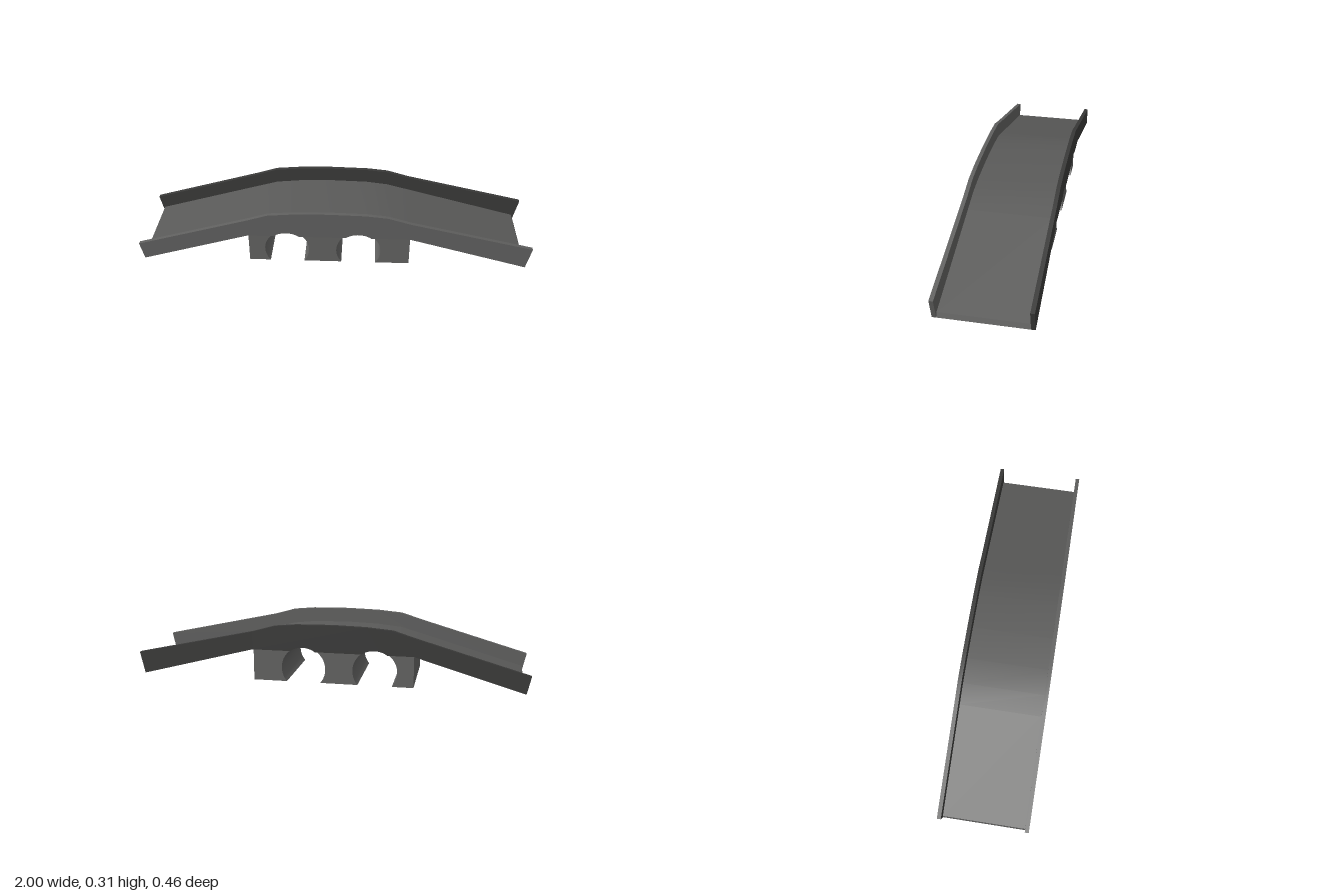
import * as THREE from 'three';
import { toCreasedNormals } from 'three/addons/utils/BufferGeometryUtils.js';

const ARCH_X = [0.125, -0.24], ARCH_Y = 0.072, ARCH_R = 0.113;
const INNER_Z = 0.209, OUTER_Z = 0.229;

// Top line of the parapets and of the road, left to right
const wallTop = [[-1, 0.095], [-0.435, 0.257], [-0.33, 0.29], [-0.2, 0.301], [-0.03, 0.305],
  [0.16, 0.301], [0.27, 0.29], [0.385, 0.257], [1, 0.122]];
const roadTop = [[-0.976, 0.027], [-0.435, 0.184], [-0.33, 0.214], [-0.2, 0.227], [-0.03, 0.232],
  [0.16, 0.227], [0.27, 0.214], [0.385, 0.184], [0.965, 0.033]];
// Underside of the deck between its two ends
const roadUnder = roadTop.slice(1, -1).map(([x, y]) => [x, y - 0.02]);

export function createModel() {
  const group = new THREE.Group();

  // Extrudes a side profile across the bridge from z0 to z1
  const add = (name, shape, z0, z1, color) => {
    const geo = new THREE.ExtrudeGeometry(shape, { depth: z1 - z0, bevelEnabled: false, curveSegments: 24 });
    geo.translate(0, 0, z0);
    const mesh = new THREE.Mesh(toCreasedNormals(geo, 0.5), new THREE.MeshStandardMaterial({ color }));
    mesh.name = name;
    group.add(mesh);
  };
  const lineAlong = (shape, points) => points.forEach(([x, y]) => shape.lineTo(x, y));
  // Cuts the round arches into an underside running right to left at height y
  const cutArches = (shape, y) => {
    const a = Math.asin((y - ARCH_Y) / ARCH_R);
    for (const x of ARCH_X) shape.absarc(x, ARCH_Y, ARCH_R, a, Math.PI - a, false);
  };

  // Thin curved road deck
  const deck = new THREE.Shape();
  deck.moveTo(-0.98, 0.007);
  lineAlong(deck, roadTop);
  deck.lineTo(0.975, 0.01);
  lineAlong(deck, [...roadUnder].reverse());
  add('roadDeck', deck, -INNER_Z, INNER_Z, 0x5a5a59);

  // Parapet walls on both sides, notched by the arches
  const wall = new THREE.Shape();
  wall.moveTo(0.975, 0.01);
  wall.lineTo(0.385, 0.165);
  cutArches(wall, 0.165);
  wall.lineTo(-0.435, 0.165);
  wall.lineTo(-0.98, 0.005);
  lineAlong(wall, wallTop);
  add('frontParapet', wall, INNER_Z, OUTER_Z, 0x60605f);
  add('backParapet', wall, -OUTER_Z, -INNER_Z, 0x3a3a39);

  // Central support with two arches, filled up to the deck
  const pier = new THREE.Shape();
  pier.moveTo(0.385, 0.164);
  pier.lineTo(0.385, 0);
  cutArches(pier, 0);
  pier.lineTo(-0.435, 0);
  lineAlong(pier, roadUnder);
  add('archedPier', pier, -INNER_Z, INNER_Z, 0x626261);

  return group;
}
